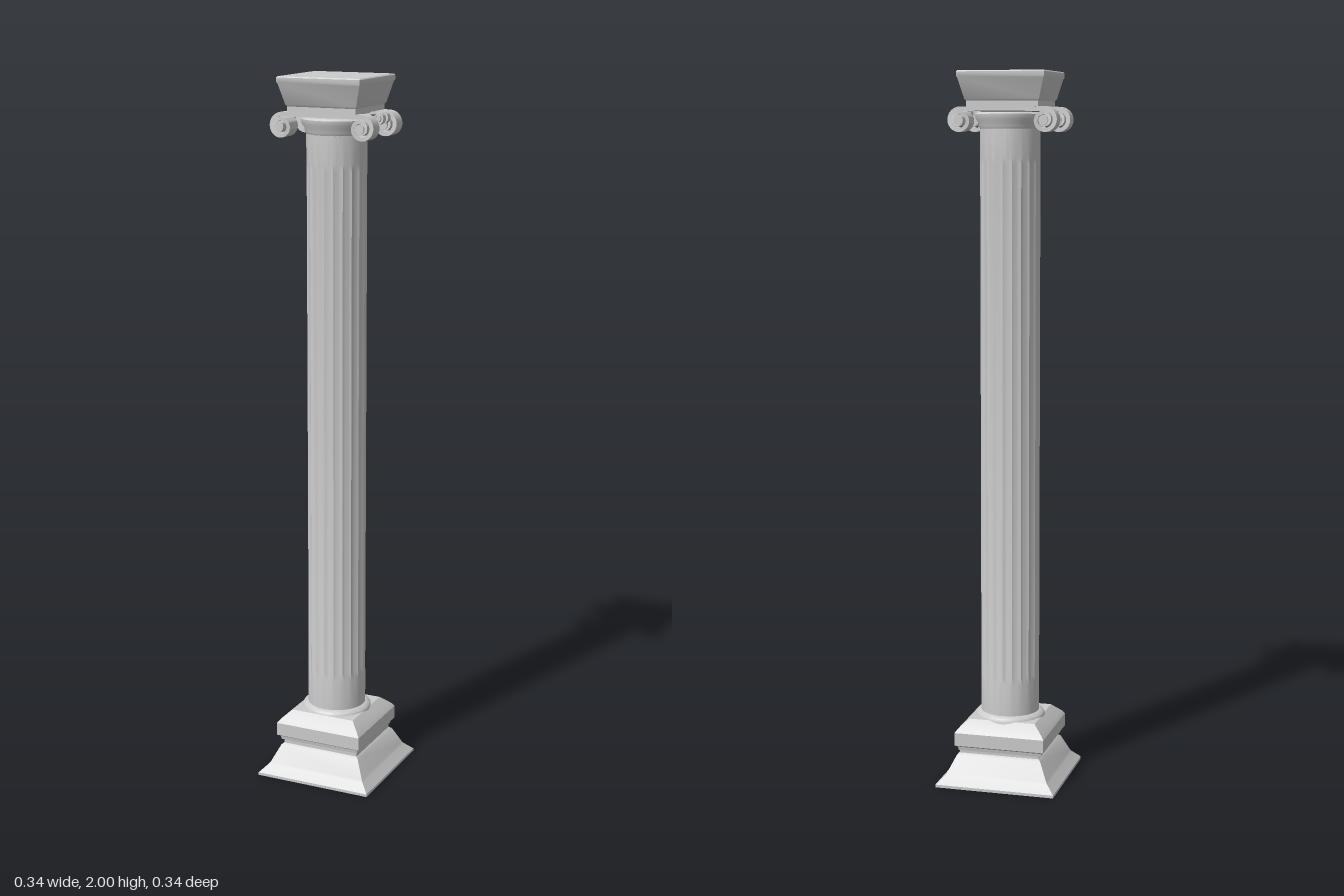
import * as THREE from 'three';
import { toCreasedNormals } from 'three/addons/utils/BufferGeometryUtils.js';

const material = new THREE.MeshStandardMaterial({ color: 0xcccccc });

function add(parent, name, geometry, crease = 0.6) {
  const mesh = new THREE.Mesh(toCreasedNormals(geometry, crease), material);
  mesh.name = name;
  parent.add(mesh);
  return mesh;
}

const points = (profile, k = 1) => profile.map(([r, y]) => new THREE.Vector2(r * k, y));

// square moulding: profile of [half width, y] from bottom to top
const squareMoulding = (profile) => new THREE.LatheGeometry(points(profile, Math.SQRT2), 4, Math.PI / 4);

// rolled band: straight lead from x = 0, then a spiral that narrows and bulges sideways
function scrollGeometry(lead, radius, width, thickness) {
  const steps = 44, turns = 1.75, pos = [], index = [];
  for (let i = 0; i <= steps + 1; i++) {
    const t = Math.max(0, (i - 1) / steps);
    const a = t * turns * Math.PI * 2;
    const r = radius * (1 - 0.66 * Math.pow(t, 1.2));
    const w = width * (1 + 0.85 * t);
    const x = i === 0 ? 0 : lead;
    const inner = r - thickness * (1 - 0.3 * t);
    for (const [q, z] of [[r, w], [r, -w], [inner, -w], [inner, w]]) {
      pos.push(x + q * Math.sin(a), q * Math.cos(a), z);
    }
    if (i > 0) {
      for (let k = 0; k < 4; k++) {
        const a0 = (i - 1) * 4 + k, b0 = (i - 1) * 4 + (k + 1) % 4;
        index.push(a0, a0 + 4, b0 + 4, a0, b0 + 4, b0);
      }
    }
  }
  const g = new THREE.BufferGeometry();
  g.setAttribute('position', new THREE.Float32BufferAttribute(pos, 3));
  g.setIndex(index);
  g.computeVertexNormals();
  return g;
}

function addScroll(parent, name, side, z, y, lead, radius, width, thickness) {
  const scroll = new THREE.Group();
  scroll.name = name;
  add(scroll, 'scrollBand', scrollGeometry(lead, radius, width, thickness));
  const eye = add(scroll, 'scrollEye',
    new THREE.CylinderGeometry(radius * 0.36, radius * 0.36, width * 3.8, 16).rotateX(Math.PI / 2));
  eye.position.x = lead;
  scroll.position.set(-0.007, y, z);
  if (side < 0) scroll.rotation.y = Math.PI;
  parent.add(scroll);
}

// round shaft with shallow flutes that stop short of both ends
function shaftGeometry(radius, bottom, top) {
  const flutes = 20, per = 6, depth = 0.004;
  const ys = [bottom, 0.29, 0.31, 1.75, 1.77, top];
  const g = new THREE.LatheGeometry(points(ys.map((y) => [radius, y])), flutes * per);
  const p = g.attributes.position;
  for (let i = 0; i < p.count; i++) {
    const y = p.getY(i);
    if (y < 0.3 || y > 1.76) continue;
    const u = (Math.floor(i / ys.length) % per) / per;
    const k = 1 - depth * Math.sin(u * Math.PI) / radius;
    p.setX(i, p.getX(i) * k);
    p.setZ(i, p.getZ(i) * k);
  }
  return g;
}

export function createModel() {
  const column = new THREE.Group();
  column.name = 'column';

  // plinth
  add(column, 'plinth', squareMoulding([
    [0, 0], [0.172, 0], [0.172, 0.008], [0.15, 0.03], [0.146, 0.035],
    [0.122, 0.085], [0.115, 0.09], [0.115, 0.11], [0, 0.11],
  ]));

  // upper block of the base
  const block = add(column, 'baseBlock', squareMoulding([
    [0, 0.1], [0.12, 0.1], [0.122, 0.11], [0.13, 0.115], [0.13, 0.152],
    [0.122, 0.163], [0.096, 0.187], [0, 0.187],
  ]));
  block.position.set(-0.004, 0, -0.004);

  // round parts share one axis
  const round = new THREE.Group();
  round.name = 'roundParts';
  round.position.set(-0.004, 0, -0.007);
  column.add(round);
  add(round, 'baseRing', new THREE.LatheGeometry(points([
    [0.1, 0.175], [0.1, 0.186], [0.096, 0.193], [0.088, 0.198], [0.08, 0.2],
  ]), 48));
  add(round, 'shaft', shaftGeometry(0.083, 0.19, 1.86), 0.4);
  add(round, 'neck', new THREE.LatheGeometry(points([
    [0, 1.845], [0.083, 1.845], [0.087, 1.853], [0.088, 1.862], [0.095, 1.872],
    [0.096, 1.885], [0.09, 1.89], [0, 1.89],
  ]), 48));

  // scrolls at the four corners
  for (const [row, z] of [['back', -0.087], ['front', 0.067]]) {
    for (const side of [-1, 1]) {
      addScroll(column, row + (side > 0 ? 'Left' : 'Right') + 'Scroll', side, z, 1.868, 0.118, 0.037, 0.018, 0.012);
    }
  }
  // pair of small scrolls on the left side
  for (const z of [-0.049, -0.018]) {
    addScroll(column, 'smallScroll', 1, z, 1.887, 0.122, 0.018, 0.008, 0.006);
  }

  // flared square cap
  const abacus = add(column, 'abacus', squareMoulding([
    [0, 1.903], [0.1, 1.903], [0.1, 1.92], [0.104, 1.925], [0.119, 1.98],
    [0.122, 1.985], [0.122, 1.997], [0.119, 2], [0, 2],
  ]));
  abacus.scale.z = 0.96;
  abacus.position.set(-0.007, 0, -0.01);

  return column;
}
